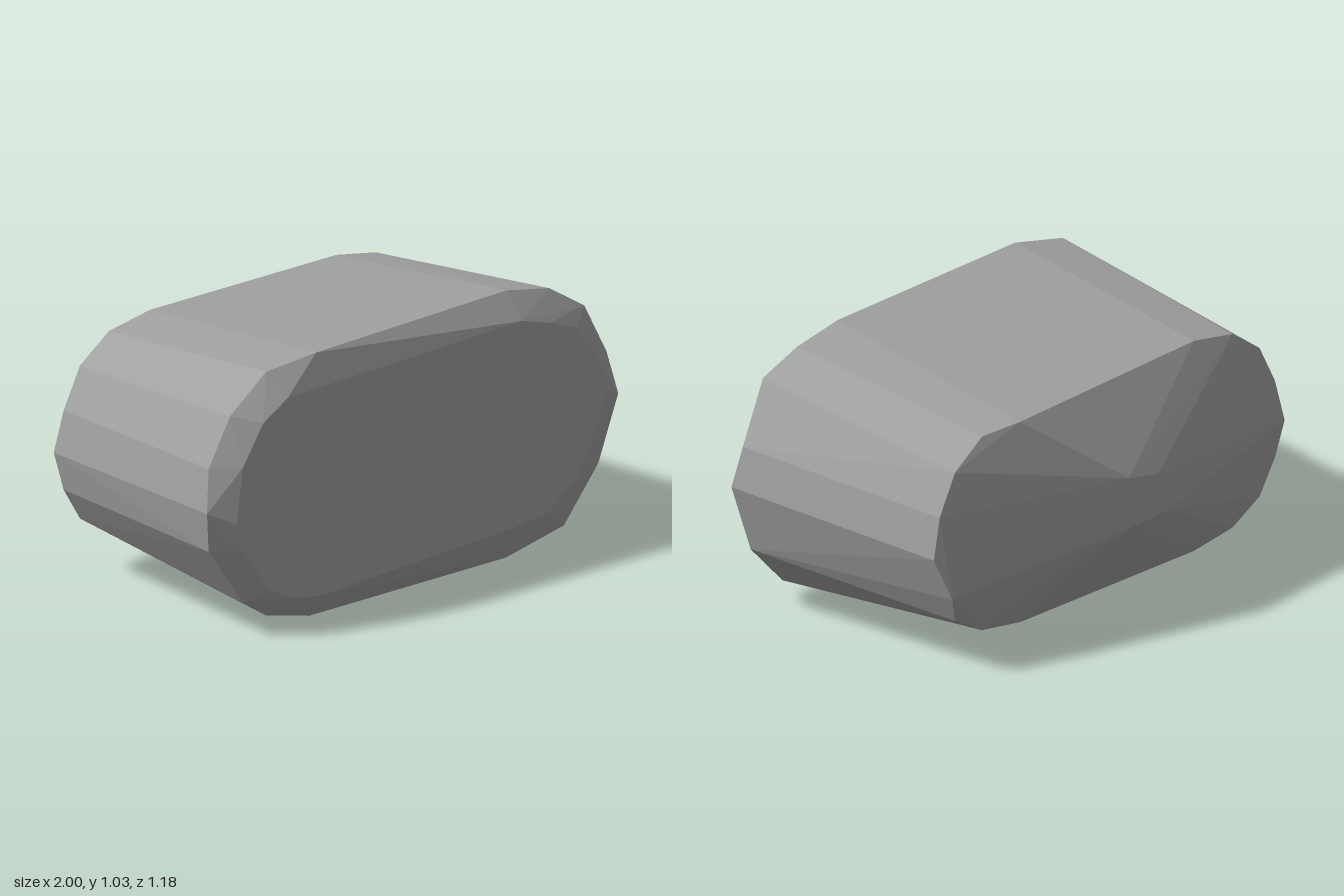
import * as THREE from 'three';
import { ConvexGeometry } from 'three/addons/geometries/ConvexGeometry.js';

// Cross-sections of the faceted stone, as [x, y] or [x, y, own z], counter-clockwise from the right
const sections = [
  // flat front face
  { z: 0.59, points: [
    [0.9, 0.56], [0.87, 0.69], [0.76, 0.84], [0.63, 0.89], [0.49, 0.93],
    [-0.65, 0.9], [-0.77, 0.83], [-0.87, 0.68], [-0.9, 0.47], [-0.87, 0.36],
    [-0.74, 0.18], [-0.62, 0.12], [-0.48, 0.1], [0.43, 0.14], [0.62, 0.16],
    [0.76, 0.26], [0.86, 0.44]] },
  // widest rim, just behind the front
  { z: 0.515, points: [
    [1, 0.52, 0.545], [0.97, 0.68], [0.83, 0.9, 0.55], [0.69, 0.99], [0.48, 1.03],
    [-0.48, 1.025, 0.553], [-0.69, 0.99], [-0.865, 0.86], [-0.97, 0.68], [-1, 0.52, 0.54],
    [-0.97, 0.36], [-0.83, 0.14, 0.545], [-0.69, 0.05], [-0.48, 0], [0.48, 0],
    [0.74, 0.07, 0.54], [0.93, 0.26]] },
  // back rim
  { z: -0.39, points: [
    [0.9, 0.485], [0.87, 0.645], [0.79, 0.8], [0.65, 0.9], [0.49, 0.918, -0.425],
    [-0.45, 0.935], [-0.65, 0.9], [-0.79, 0.8], [-0.87, 0.645], [-0.9, 0.485, -0.41],
    [-0.87, 0.34], [-0.79, 0.21], [-0.65, 0.13], [-0.45, 0.1], [0.45, 0.1],
    [0.65, 0.13], [0.79, 0.21], [0.84, 0.32, -0.425]] },
  // small blunt tip at the back
  { z: -0.59, points: [[0.09, 0.62], [-0.06, 0.59], [-0.11, 0.43], [0.09, 0.42]] },
];

export function createModel() {
  const group = new THREE.Group();
  group.name = 'facetedStone';

  const grey = new THREE.MeshStandardMaterial({ color: 0xa0a0a0 });
  grey.name = 'stone grey';

  // One convex skin over all the sections
  const points = sections.flatMap(({ z, points }) =>
    points.map(([x, y, ownZ = z]) => new THREE.Vector3(x, y, ownZ)));
  const stone = new THREE.Mesh(new ConvexGeometry(points), grey);
  stone.name = 'stone';
  group.add(stone);

  return group;
}
